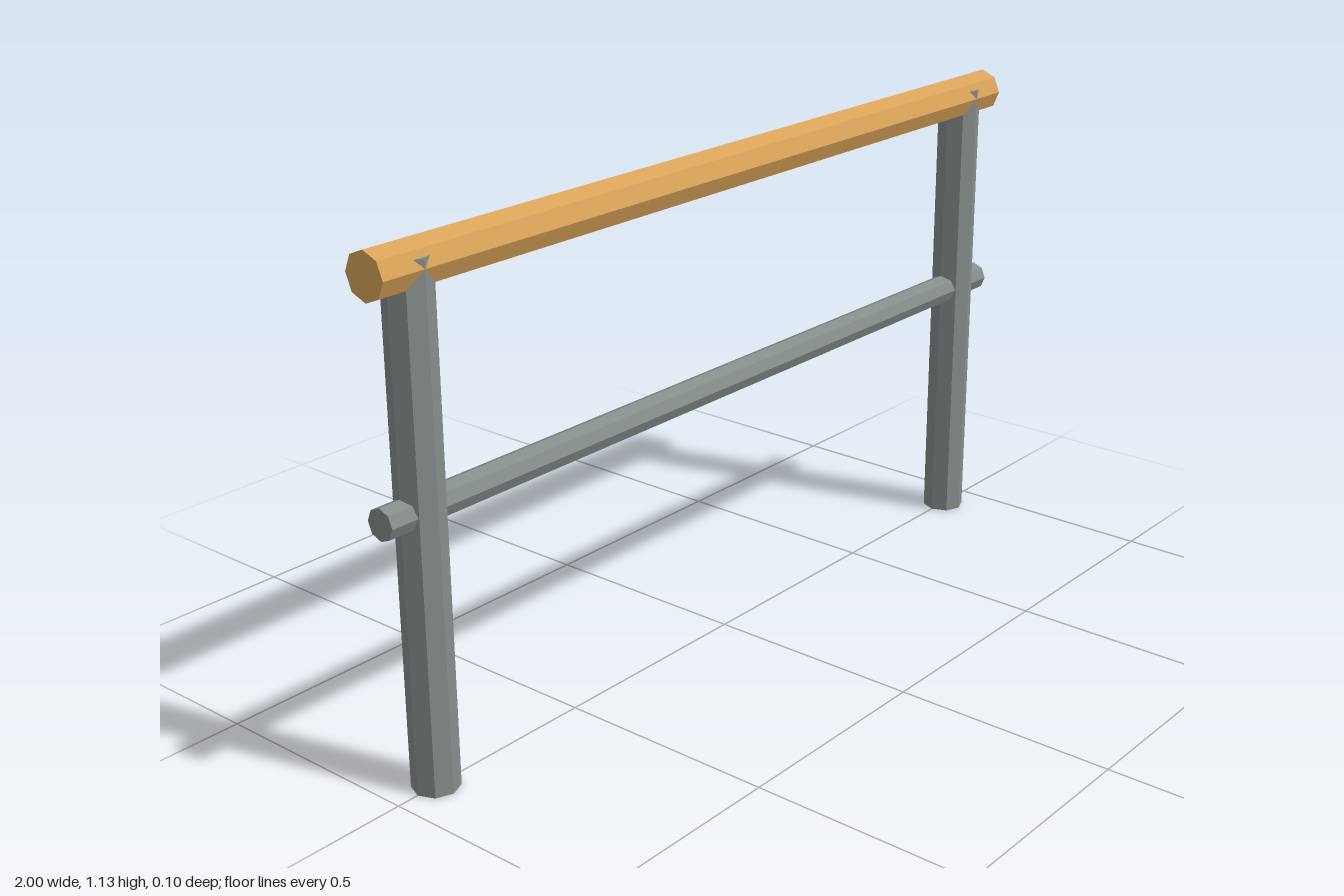
import * as THREE from 'three';

export function createModel() {
  const model = new THREE.Group();
  model.name = 'railing';

  const wood = new THREE.MeshStandardMaterial({ name: 'wood', color: 0xd9a359, flatShading: true });
  const steel = new THREE.MeshStandardMaterial({ name: 'greySteel', color: 0x858d8b, flatShading: true });

  // Eight-sided bar, upright unless laid along x
  function bar(name, radius, length, material, x, y, alongX) {
    const geometry = new THREE.CylinderGeometry(radius, radius, length, 8);
    if (alongX) geometry.rotateZ(Math.PI / 2);
    const mesh = new THREE.Mesh(geometry, material);
    mesh.name = name;
    mesh.position.set(x, y, 0);
    model.add(mesh);
  }

  // Posts, whose tops run into the handrail
  bar('leftPost', 0.05, 1.1, steel, 0.9, 0.55, false);
  bar('rightPost', 0.05, 1.1, steel, -0.9, 0.55, false);

  // Horizontal rails
  bar('handrail', 0.05, 2, wood, 0, 1.08, true);
  bar('lowerRail', 0.034, 2, steel, 0, 0.6, true);

  return model;
}
